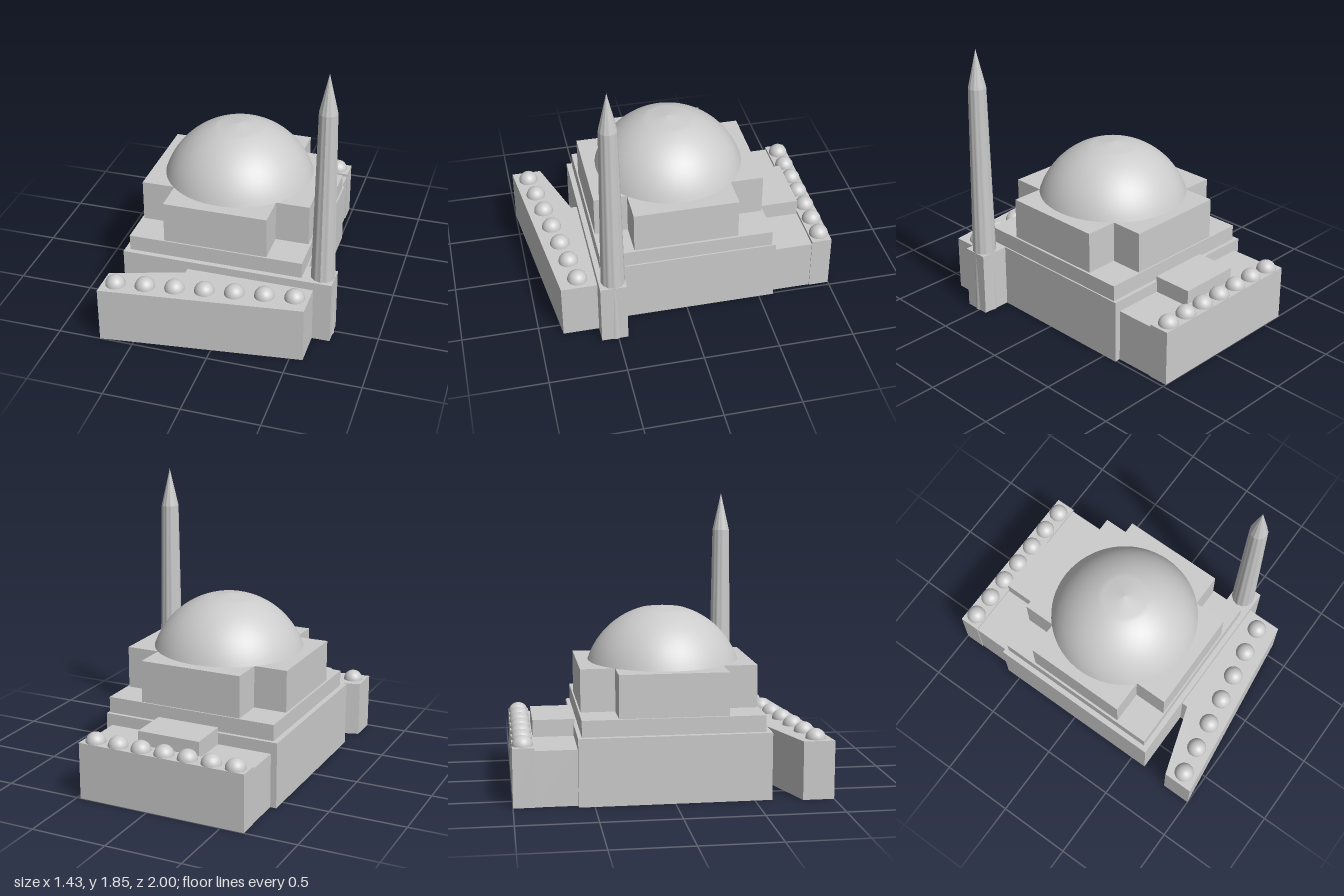
import * as THREE from 'three';

export function createModel() {
  const model = new THREE.Group();
  const material = new THREE.MeshStandardMaterial({ color: 0xcccccc });

  const add = (name, geometry, parent = model) => {
    const mesh = new THREE.Mesh(geometry, material);
    mesh.name = name;
    parent.add(mesh);
    return mesh;
  };
  // Box given by its limits on each axis
  const box = (name, x0, x1, y0, y1, z0, z1) =>
    add(name, new THREE.BoxGeometry(x1 - x0, y1 - y0, z1 - z0)
      .translate((x0 + x1) / 2, (y0 + y1) / 2, (z0 + z1) / 2));
  // Upright prism from a plan outline of [x, z] points
  const prism = (name, plan, y0, y1) => {
    const shape = new THREE.Shape(plan.map(([x, z]) => new THREE.Vector2(x, -z)));
    const geometry = new THREE.ExtrudeGeometry(shape, { depth: y1 - y0, bevelEnabled: false });
    return add(name, geometry.rotateX(-Math.PI / 2).translate(0, y0, 0));
  };

  // Main hall: two stepped tiers and a cross-shaped drum
  box('mainHall', -0.69, 0.51, 0, 0.43, -0.6, 0.61);
  box('upperTier', -0.655, 0.5, 0.43, 0.535, -0.575, 0.575);
  prism('crossDrum', [
    [-0.42, 0.565], [0.265, 0.565], [0.265, 0.345], [0.485, 0.345],
    [0.485, -0.345], [0.265, -0.345], [0.265, -0.565], [-0.42, -0.565],
    [-0.42, -0.345], [-0.64, -0.345], [-0.64, 0.345], [-0.42, 0.345],
  ], 0.535, 0.81);

  // Great dome: spherical cap with a shallow pointed crown
  const R = 0.518, centreY = 0.642, rim = 1.24, crown = 0.28;
  const profile = [];
  for (let i = 0; i <= 16; i++) {
    const a = rim + (crown - rim) * i / 16;
    profile.push(new THREE.Vector2(R * Math.sin(a), centreY + R * Math.cos(a)));
  }
  profile.push(new THREE.Vector2(0, 1.16));
  add('greatDome', new THREE.LatheGeometry(profile, 64)).position.set(-0.08, 0, 0);

  // Rear wing with a raised arcade and a roof block
  box('rearWing', -0.65, 0.47, 0, 0.355, -0.87, -0.6);
  box('rearArcade', -0.655, 0.475, 0, 0.375, -1, -0.865);
  box('rearRoofBlock', -0.29, 0.13, 0.355, 0.465, -0.862, -0.595);

  // Slanted front wing
  prism('frontWing', [
    [-0.72, 1], [0.585, 0.845], [0.585, 0.605],
    [-0.25, 0.605], [-0.25, 0.65], [-0.72, 0.8],
  ], 0, 0.375);

  // Rows of small domes along both wings
  const smallDome = new THREE.SphereGeometry(0.065, 24, 10, 0, Math.PI * 2, 0, Math.PI / 2);
  const domeRow = (name, x0, z0, x1, z1) => {
    const row = new THREE.Group();
    row.name = name;
    for (let i = 0; i < 7; i++) {
      const t = i / 6;
      add('smallDome', smallDome, row)
        .position.set(x0 + (x1 - x0) * t, 0.373, z0 + (z1 - z0) * t);
    }
    model.add(row);
  };
  domeRow('rearDomes', -0.57, -0.935, 0.39, -0.935);
  domeRow('frontDomes', -0.635, 0.895, 0.495, 0.725);

  // Minaret: square foot, tapering fluted shaft and pointed cap
  box('minaretFoot', 0.505, 0.703, 0, 0.43, 0.437, 0.61);
  const minaret = new THREE.Group();
  minaret.name = 'minaret';
  minaret.position.set(0.625, 0, 0.515);
  model.add(minaret);
  const flutedFrustum = (name, rTop, rBottom, y0, y1) => {
    const geometry = new THREE.CylinderGeometry(rTop, rBottom, y1 - y0, 48, 1);
    const p = geometry.attributes.position;
    for (let i = 0; i < p.count; i++) {
      const k = 0.97 + 0.03 * Math.cos(12 * Math.atan2(p.getZ(i), p.getX(i)));
      p.setX(i, p.getX(i) * k);
      p.setZ(i, p.getZ(i) * k);
    }
    geometry.computeVertexNormals();
    add(name, geometry.translate(0, (y0 + y1) / 2, 0), minaret);
  };
  flutedFrustum('minaretShaft', 0.059, 0.086, 0, 1.59);
  flutedFrustum('minaretCap', 0.0005, 0.059, 1.59, 1.845);

  return model;
}
